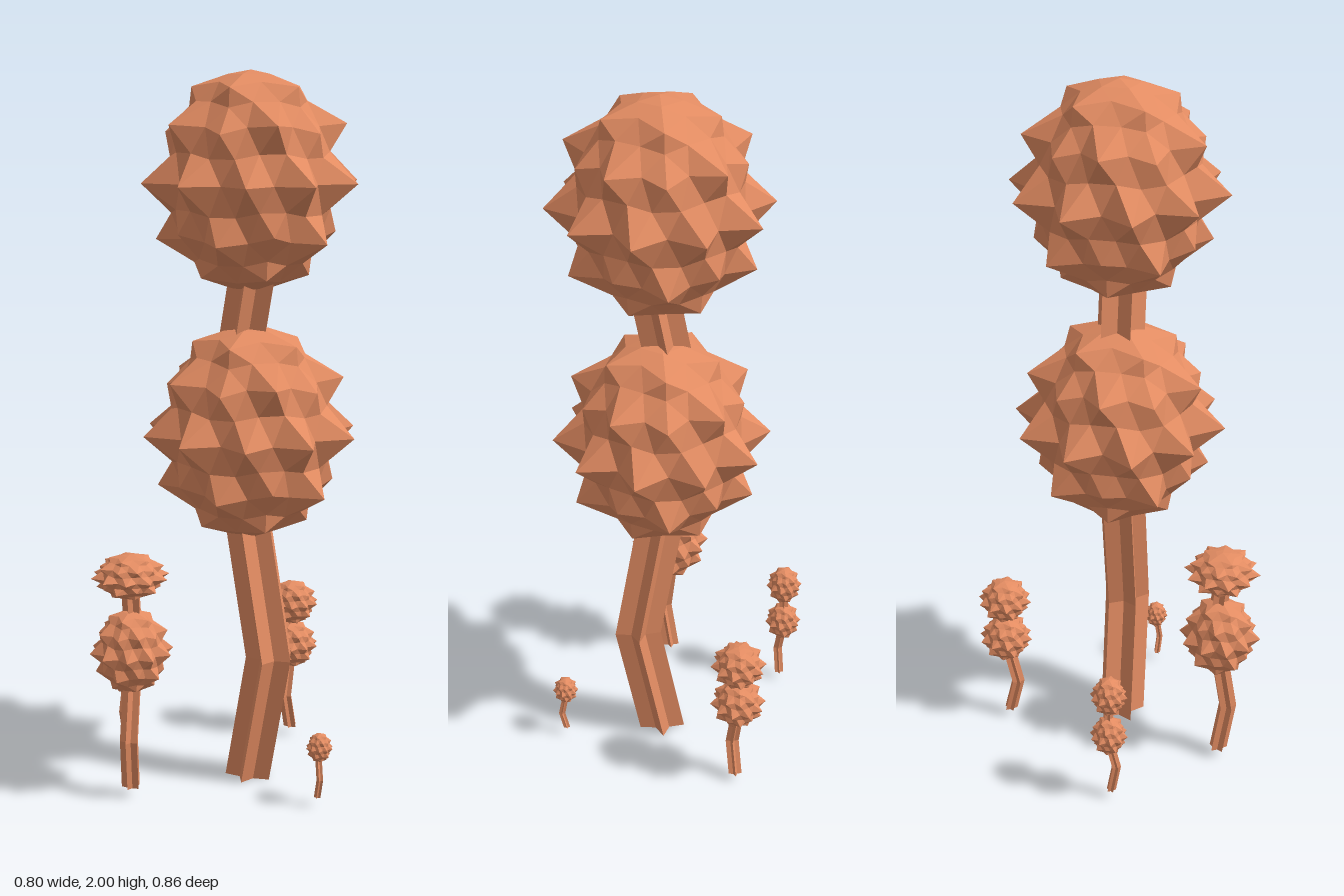
import * as THREE from 'three';

const material = new THREE.MeshStandardMaterial({ color: 0xe38c62, flatShading: true });
const V = (x, y, z) => new THREE.Vector3(x, y, z);

function fromTriangles(points) {
  const geometry = new THREE.BufferGeometry().setFromPoints(points);
  geometry.computeVertexNormals();
  return geometry;
}

// The 20 outward faces of an icosahedron standing on a corner
function icosahedronFaces() {
  const corners = [V(0, 1, 0), V(0, -1, 0)];
  const lat = Math.atan(0.5);
  for (let i = 0; i < 5; i++) {
    for (const s of [1, -1]) {
      const a = i * Math.PI * 0.4 + (s < 0 ? Math.PI : 0);
      corners.push(V(Math.cos(lat) * Math.cos(a), s * Math.sin(lat), Math.cos(lat) * Math.sin(a)));
    }
  }
  const near = (a, b) => a.distanceTo(b) < 1.1;
  const faces = [];
  for (let i = 0; i < 12; i++) {
    for (let j = i + 1; j < 12; j++) {
      for (let k = j + 1; k < 12; k++) {
        const [a, b, c] = [corners[i], corners[j], corners[k]];
        if (!near(a, b) || !near(b, c) || !near(a, c)) continue;
        const outward = b.clone().sub(a).cross(c.clone().sub(a)).dot(a) > 0;
        faces.push((outward ? [a, b, c] : [a, c, b]).map((p) => ({ p, pull: CORNER })));
      }
    }
  }
  return faces;
}

// Horizontal pull of each generation of points: blunt spikes, long spikes, valleys
const CORNER = 0.85, SPIKE = 1, VALLEY = 0.74;

// Splits every face into four; the new points get the given pull
function split(faces, pull) {
  const mid = (a, b) => ({ p: a.p.clone().add(b.p).normalize(), pull });
  return faces.flatMap(([a, b, c]) => {
    const ab = mid(a, b), bc = mid(b, c), ca = mid(c, a);
    return [[a, ab, ca], [ab, b, bc], [ca, bc, c], [ab, bc, ca]];
  });
}

// Unit ball with spikes drawn out sideways and flat poles
function spikyBall() {
  const faces = split(split(icosahedronFaces(), SPIKE), VALLEY);
  return fromTriangles(faces.flat().map(({ p, pull }) => V(p.x * pull, p.y, p.z * pull)));
}

// Crooked stem with a five-pointed star section
function starStem(path, radius) {
  const n = 10;
  const rings = path.map(([x, y, z]) => Array.from({ length: n }, (_, i) => {
    const a = (i / n) * Math.PI * 2;
    const r = radius * (i % 2 ? 0.5 : 1);
    return V(x + r * Math.cos(a), y, z + r * Math.sin(a));
  }));
  const tris = [];
  for (let k = 0; k < rings.length - 1; k++) {
    for (let i = 0; i < n; i++) {
      const j = (i + 1) % n;
      const a = rings[k][i], b = rings[k][j], c = rings[k + 1][j], d = rings[k + 1][i];
      tris.push(a, c, b, a, d, c);
    }
  }
  const last = rings.length - 1;
  for (let i = 0; i < n; i++) {
    const j = (i + 1) % n;
    tris.push(V(...path[0]), rings[0][i], rings[0][j]);
    tris.push(V(...path[last]), rings[last][j], rings[last][i]);
  }
  return fromTriangles(tris);
}

// balls: [x, y, z, horizontal radius, vertical radius]
const plants = [
  { name: 'tallPlant', radius: 0.07,
    path: [[0.079, 0, -0.014], [0.153, 0.37, -0.014], [0.015, 1.07, -0.014], [0.1, 1.5, -0.014]],
    balls: [[0.073, 1.013, -0.018, 0.304, 0.297], [0.073, 1.703, -0.018, 0.304, 0.297]] },
  { name: 'frontPlant', radius: 0.027,
    path: [[-0.085, 0.025, 0.315], [-0.07, 0.17, 0.337], [-0.085, 0.44, 0.295], [-0.08, 0.62, 0.315]],
    balls: [[-0.083, 0.425, 0.31, 0.118, 0.117], [-0.083, 0.64, 0.312, 0.11, 0.061]] },
  { name: 'backPlant', radius: 0.02,
    path: [[-0.02, 0.025, -0.34], [-0.02, 0.13, -0.315], [-0.025, 0.29, -0.35], [-0.02, 0.4, -0.345]],
    balls: [[-0.022, 0.288, -0.347, 0.08, 0.07], [-0.022, 0.42, -0.347, 0.08, 0.065]] },
  { name: 'rightPlant', radius: 0.014,
    path: [[-0.345, 0.025, 0.045], [-0.345, 0.11, 0.06], [-0.35, 0.22, 0.035], [-0.35, 0.35, 0.04]],
    balls: [[-0.35, 0.224, 0.04, 0.055, 0.059], [-0.35, 0.358, 0.04, 0.054, 0.058]] },
  { name: 'leftPlant', radius: 0.01,
    path: [[0.365, 0.025, 0.045], [0.377, 0.08, 0.05], [0.362, 0.17, 0.04]],
    balls: [[0.366, 0.17, 0.04, 0.038, 0.041]] },
];

export function createModel() {
  const model = new THREE.Group();
  model.name = 'spikyPlants';
  const ball = spikyBall();
  for (const { name, radius, path, balls } of plants) {
    const plant = new THREE.Group();
    plant.name = name;
    const stem = new THREE.Mesh(starStem(path, radius), material);
    stem.name = 'stem';
    plant.add(stem);
    balls.forEach(([x, y, z, r, h], i) => {
      const mesh = new THREE.Mesh(ball, material);
      mesh.name = i ? 'upperSpikyBall' : 'lowerSpikyBall';
      mesh.position.set(x, y, z);
      mesh.scale.set(r, h, r);
      plant.add(mesh);
    });
    model.add(plant);
  }
  return model;
}
